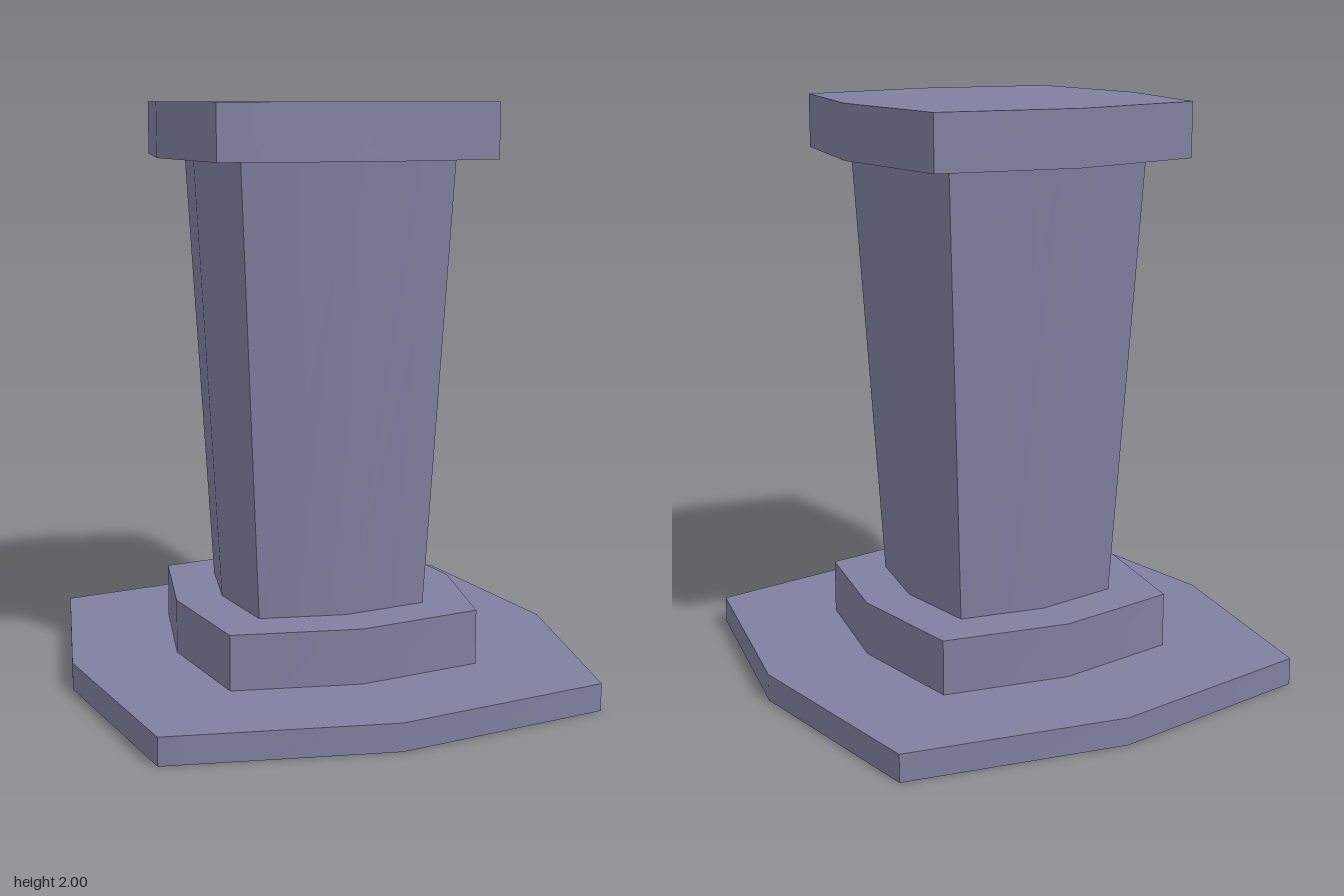
import * as THREE from 'three';
import { toCreasedNormals } from 'three/addons/utils/BufferGeometryUtils.js';

const CORNER = 0.857; // corner coordinate as a fraction of the mid-side reach

// Square block with gently bowed sides: smooth across each side, sharp at corners
function bowedBlock(name, material, bottom, top, y0, y1, ends) {
  const geometry = new THREE.CylinderGeometry(top, bottom, y1 - y0, 8, 1, ends === 'none');
  const p = geometry.attributes.position;
  for (let i = 0; i < p.count; i++) {
    // Push the diagonal vertices out to the square corners
    const x = p.getX(i), z = p.getZ(i);
    if (Math.abs(x) > 1e-4 && Math.abs(z) > 1e-4) {
      const k = CORNER * Math.SQRT2;
      p.setXYZ(i, x * k, p.getY(i), z * k);
    }
  }
  // The bottom disc is the last eight triangles
  if (ends === 'top') geometry.setIndex(Array.from(geometry.index.array).slice(0, -24));
  geometry.clearGroups();
  const mesh = new THREE.Mesh(toCreasedNormals(geometry, 0.6), material);
  mesh.name = name;
  mesh.position.y = (y0 + y1) / 2;
  return mesh;
}

export function createModel() {
  const stone = new THREE.MeshStandardMaterial({ color: 0x7f7fa0, side: THREE.DoubleSide });
  stone.name = 'blue grey stone';

  const pedestal = new THREE.Group();
  pedestal.name = 'pedestal';
  pedestal.add(
    // Wide foot, hollow underneath
    bowedBlock('foot', stone, 0.88, 0.88, 0, 0.095, 'top'),
    bowedBlock('plinth', stone, 0.51, 0.51, 0.095, 0.285, 'top'),
    // Shaft widening upwards
    bowedBlock('shaft', stone, 0.345, 0.43, 0.285, 1.815, 'none'),
    bowedBlock('capital', stone, 0.555, 0.555, 1.815, 2, 'both'),
  );
  return pedestal;
}
